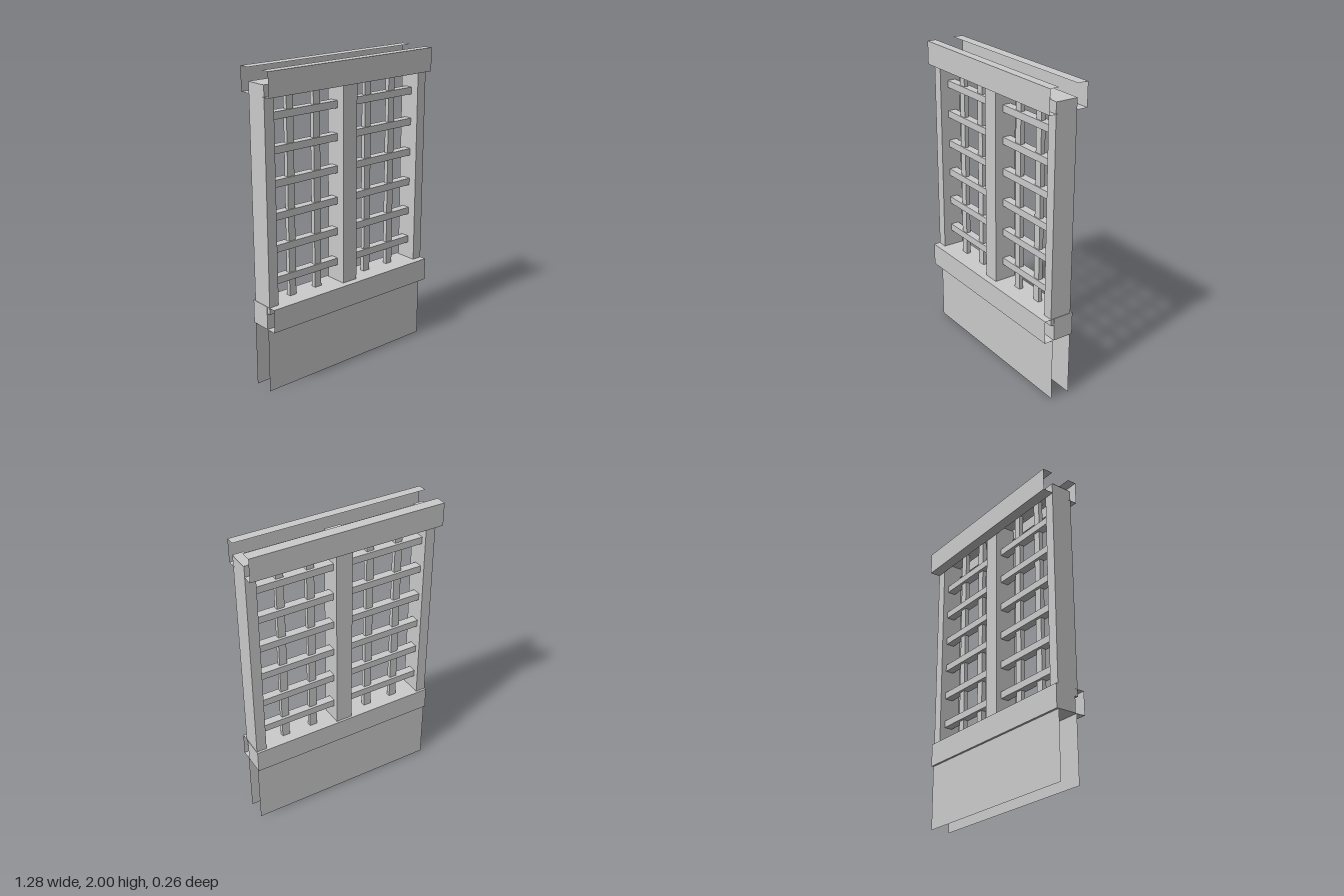
import * as THREE from 'three';

const solid = new THREE.MeshStandardMaterial({ color: 0xcccccc, flatShading: true });
const thin = new THREE.MeshStandardMaterial({ color: 0xcccccc, flatShading: true, side: THREE.DoubleSide });
const WIDTH = 1.28;

export function createModel() {
  const model = new THREE.Group();

  // Solid box given by its limits on each axis
  function box(name, [x0, x1], [y0, y1], [z0, z1]) {
    const mesh = new THREE.Mesh(new THREE.BoxGeometry(x1 - x0, y1 - y0, z1 - z0), solid);
    mesh.position.set((x0 + x1) / 2, (y0 + y1) / 2, (z0 + z1) / 2);
    mesh.name = name;
    model.add(mesh);
  }

  // Full-width thin boards following an open (z, y) profile, open at both ends
  function boards(name, profile) {
    const group = new THREE.Group();
    group.name = name;
    for (let i = 0; i < profile.length - 1; i++) {
      const [z0, y0] = profile[i];
      const [z1, y1] = profile[i + 1];
      const mesh = new THREE.Mesh(new THREE.PlaneGeometry(WIDTH, Math.hypot(z1 - z0, y1 - y0)), thin);
      mesh.rotation.x = Math.atan2(z1 - z0, y1 - y0);
      mesh.position.set(0, (y0 + y1) / 2, (z0 + z1) / 2);
      mesh.name = name + 'Board';
      group.add(mesh);
    }
    model.add(group);
  }

  // Top rail: front and back channels with a lower board between them
  boards('topFrontChannel', [[0.07, 2], [0.13, 2], [0.13, 1.85], [0.07, 1.85]]);
  boards('topBackChannel', [[-0.06, 2], [-0.13, 2], [-0.13, 1.85], [-0.06, 1.85]]);
  boards('topMiddleBoard', [[-0.06, 1.92], [0.07, 1.92]]);

  // Sill: solid core with an open channel in front
  box('sillCore', [-0.64, 0.64], [0.42, 0.57], [-0.075, 0.062]);
  boards('sillFrontChannel', [[0.062, 0.57], [0.13, 0.57], [0.13, 0.42], [0.062, 0.42]]);

  // Lower wall panels
  boards('frontPanel', [[0.07, 0], [0.07, 0.42]]);
  boards('backPanel', [[-0.06, 0], [-0.06, 0.42]]);

  // Posts
  const postY = [0.525, 1.92], postZ = [-0.06, 0.085];
  box('rightPost', [-0.637, -0.57], postY, postZ);
  box('centerPost', [-0.055, 0.055], postY, postZ);
  box('leftPost', [0.57, 0.637], postY, postZ);

  // Lattice in both openings
  for (const x of [-0.41, -0.21, 0.2, 0.4]) {
    box('latticeUpright', [x - 0.025, x + 0.025], [0.56, 1.92], [-0.007, 0.022]);
  }
  for (const [x0, x1] of [[-0.572, -0.053], [0.053, 0.572]]) {
    for (let i = 0; i < 6; i++) {
      const y = 0.702 + i * 0.2035;
      box('latticeBar', [x0, x1], [y - 0.023, y + 0.023], [-0.025, 0.03]);
    }
  }
  return model;
}
